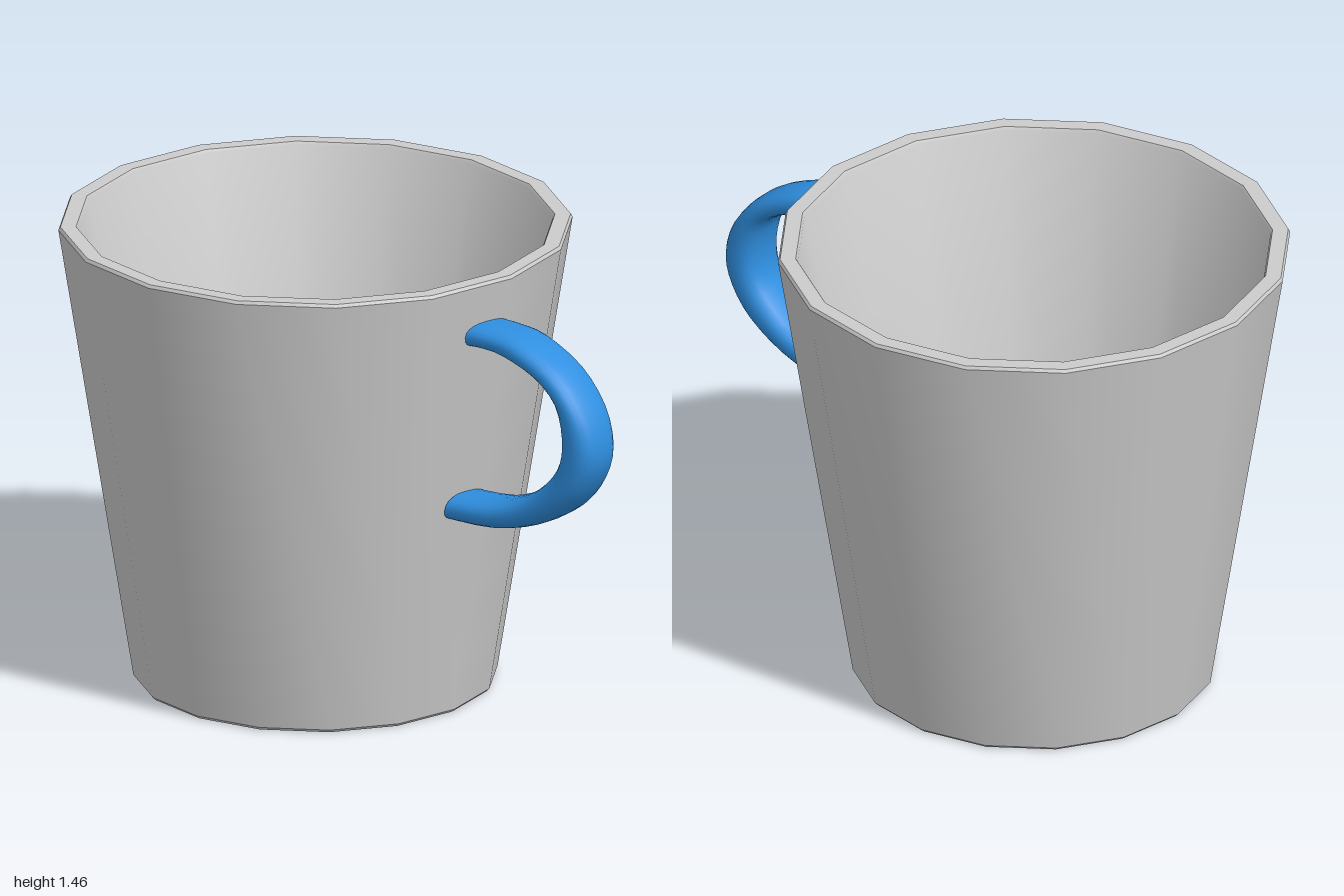
import * as THREE from 'three';
import { toCreasedNormals } from 'three/addons/utils/BufferGeometryUtils.js';

const v2 = (p) => new THREE.Vector2(p[0], p[1]);

// Tapered 16-sided cup: underside, outer wall, rim, inner wall, floor
function cupGeometry() {
  const profile = [
    [0, 0], [0.546, 0], [0.556, 0.01],
    [0.785, 1.45], [0.779, 1.46], [0.731, 1.46], [0.725, 1.45],
    [0.46, 0.08], [0, 0.08],
  ].map(v2);
  return toCreasedNormals(new THREE.LatheGeometry(profile, 16), 0.6);
}

// Handle: rounded-flat sections lofted between an outer and an inner edge curve
function handleGeometry() {
  const outer = new THREE.SplineCurve([
    [0.52, 1.325], [0.61, 1.325], [0.72, 1.31], [0.866, 1.235], [0.963, 1.12],
    [0.997, 1.0], [0.968, 0.9], [0.893, 0.805], [0.76, 0.725], [0.6, 0.68], [0.425, 0.67],
  ].map(v2));
  const inner = new THREE.SplineCurve([
    [0.51, 1.247], [0.565, 1.25], [0.64, 1.245], [0.76, 1.21], [0.84, 1.15],
    [0.868, 1.05], [0.86, 0.96], [0.815, 0.89], [0.73, 0.82], [0.6, 0.77], [0.44, 0.755],
  ].map(v2));
  const steps = 30, sides = 20, halfWidth = 0.085;
  const soften = (c) => Math.sign(c) * Math.abs(c) ** 0.8;
  const pos = [], index = [];
  for (let j = 0; j <= steps; j++) {
    const o = outer.getPoint(j / steps), i = inner.getPoint(j / steps);
    const mid = o.clone().add(i).multiplyScalar(0.5);
    const half = o.clone().sub(i).multiplyScalar(0.5);
    for (let k = 0; k < sides; k++) {
      const a = (k / sides) * Math.PI * 2;
      const c = soften(Math.cos(a)), s = soften(Math.sin(a));
      pos.push(mid.x + half.x * c, mid.y + half.y * c, halfWidth * s);
      if (j < steps) {
        const n = (k + 1) % sides, r = j * sides, q = r + sides;
        index.push(r + k, r + n, q + k, r + n, q + n, q + k);
      }
    }
  }
  // End caps
  const last = steps * sides;
  for (let k = 1; k < sides - 1; k++) {
    index.push(0, k + 1, k, last, last + k, last + k + 1);
  }
  const geo = new THREE.BufferGeometry();
  geo.setAttribute('position', new THREE.Float32BufferAttribute(pos, 3));
  geo.setIndex(index);
  return toCreasedNormals(geo, 0.9);
}

export function createModel() {
  const group = new THREE.Group();
  group.name = 'mug';

  const cup = new THREE.Mesh(cupGeometry(), new THREE.MeshStandardMaterial({ color: 0xcccccc }));
  cup.name = 'cup';
  cup.position.x = -0.215;
  group.add(cup);

  const handle = new THREE.Mesh(handleGeometry(), new THREE.MeshStandardMaterial({ color: 0x2f8fe0 }));
  handle.name = 'handle';
  handle.position.z = 0.07;
  group.add(handle);

  return group;
}
